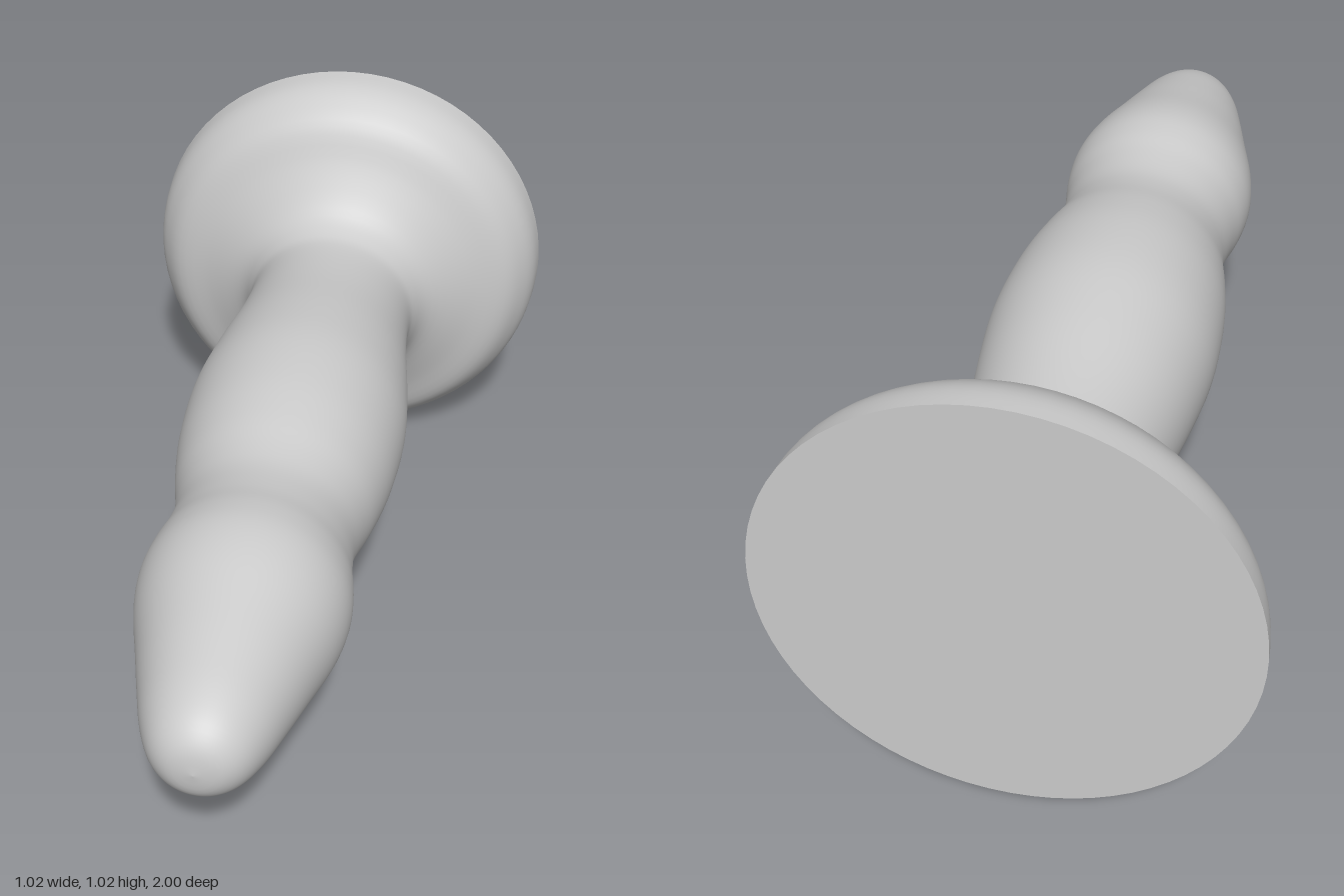
import * as THREE from 'three';

export function createModel() {
  const group = new THREE.Group();
  const material = new THREE.MeshStandardMaterial({ color: 0xcccccc });
  const baseRadius = 0.51, segments = 72;

  // Outline as [radius, z], from the flat base to the rounded tip
  const outline = [
    [0.51, -1], [0.503, -0.94], [0.48, -0.89], [0.435, -0.84], [0.345, -0.8],
    [0.255, -0.745], [0.217, -0.69], [0.207, -0.63], [0.217, -0.5], [0.243, -0.32],
    [0.258, -0.16], [0.251, 0], [0.232, 0.12], [0.211, 0.21], [0.203, 0.28],
    [0.21, 0.36], [0.223, 0.43], [0.228, 0.5], [0.217, 0.58], [0.187, 0.69],
    [0.157, 0.8], [0.13, 0.89], [0.098, 0.955], [0.055, 0.99], [0, 1],
  ].map(([r, z]) => new THREE.Vector2(r, z));
  const profile = new THREE.SplineCurve(outline).getPoints(96);
  profile.forEach((p) => { p.x = Math.max(p.x, 0); });

  // Turned body: flared foot, shaft, ridge and tip
  const body = new THREE.Mesh(new THREE.LatheGeometry(profile, segments).rotateX(Math.PI / 2), material);
  body.name = 'body';

  // Flat disc closing the back
  const foot = new THREE.Mesh(new THREE.CircleGeometry(baseRadius, segments).rotateY(Math.PI), material);
  foot.name = 'baseDisc';
  foot.position.z = -1;

  group.add(body, foot);
  group.position.y = baseRadius;
  return group;
}
